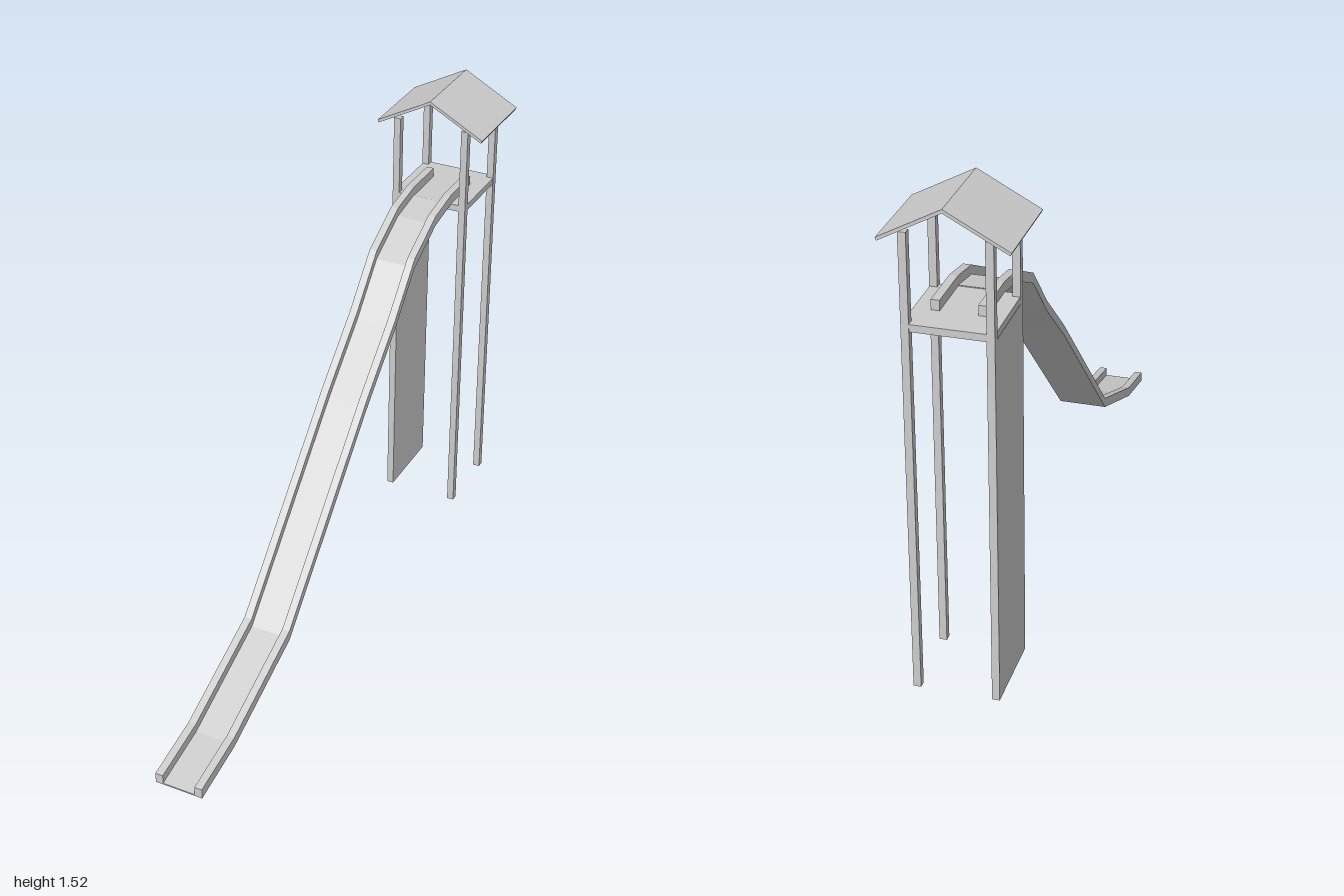
import * as THREE from 'three';

const material = new THREE.MeshStandardMaterial({ color: 0xcccccc, flatShading: true });

export function createModel() {
  const model = new THREE.Group();
  model.name = 'towerSlide';

  const add = (name, geometry, x = 0, y = 0, z = 0) => {
    const mesh = new THREE.Mesh(geometry, material);
    mesh.name = name;
    mesh.position.set(x, y, z);
    model.add(mesh);
  };
  const box = (name, w, h, d, x, y, z) => add(name, new THREE.BoxGeometry(w, h, d), x, y, z);

  // Tower: four posts, one closed side wall and the platform
  const post = 0.023, postTop = 1.435, towerZ = -0.85, reach = 0.1185;
  for (const sx of [-1, 1]) {
    for (const sz of [-1, 1]) {
      box(`${sz > 0 ? 'front' : 'back'}${sx > 0 ? 'Left' : 'Right'}Post`,
        post, postTop, post, sx * reach, postTop / 2, towerZ + sz * reach);
    }
  }
  box('sideWall', post, 1.149, 2 * reach, -reach, 1.149 / 2, towerZ);
  box('platform', 0.258, 0.022, 0.258, 0, 1.159, towerZ);

  // Gabled roof, one folded sheet running front to back
  const roof = new THREE.Shape([
    [0, 1.52], [-0.184, 1.421], [-0.18, 1.412], [0, 1.509], [0.18, 1.412], [0.184, 1.421],
  ].map(([x, y]) => new THREE.Vector2(x, y)));
  add('roof', new THREE.ExtrudeGeometry(roof, { depth: 0.29, bevelEnabled: false }), 0, 0, -1);

  // Slide: the chute's floor line as [z, y], from the exit up to the platform
  const path = [
    [1, 0.004], [0.8, 0.046], [0.44, 0.193], [-0.1, 0.735], [-0.3, 0.916],
    [-0.44, 1.069], [-0.6, 1.15], [-0.72, 1.171], [-0.88, 1.171],
  ];
  // A band between two heights above the floor line, extruded across x
  const band = (points, low, high, width) => {
    const outline = [
      ...points.map(([z, y]) => new THREE.Vector2(z, y + low)),
      ...points.map(([z, y]) => new THREE.Vector2(z, y + high)).reverse(),
    ];
    const geometry = new THREE.ExtrudeGeometry(new THREE.Shape(outline), { depth: width, bevelEnabled: false });
    return geometry.translate(0, 0, -width / 2).rotateY(-Math.PI / 2);
  };
  add('slideFloor', band(path.slice(0, 8), -0.004, 0.001, 0.11));
  for (const side of [-1, 1]) {
    add(side > 0 ? 'leftRail' : 'rightRail', band(path, -0.004, 0.03, 0.025), side * 0.0665);
  }

  return model;
}
